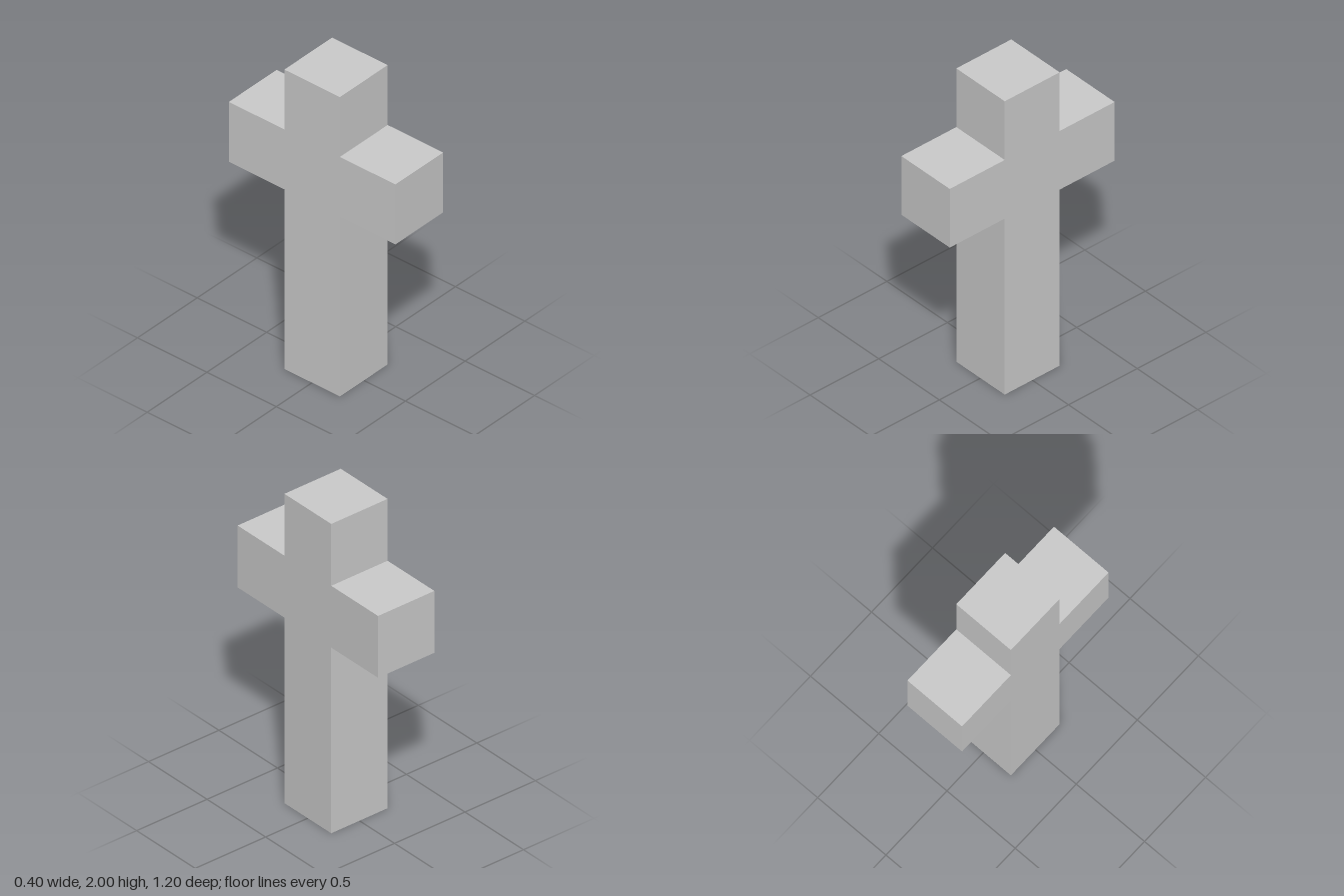
import * as THREE from 'three';

export function createModel() {
  const group = new THREE.Group();
  group.name = 'cross';

  const width = 0.4;   // bar thickness
  const h = width / 2;
  const arm = 0.6;     // reach of each arm
  const armBottom = 1.2, armTop = 1.6, height = 2;

  // Right half of the outline, bottom to top; mirrored for the other half
  const half = [[h, 0], [h, armBottom], [arm, armBottom], [arm, armTop], [h, armTop], [h, height]];
  const mirrored = half.map(([x, y]) => [-x, y]).reverse();
  const outline = new THREE.Shape([...half, ...mirrored].map(([x, y]) => new THREE.Vector2(x, y)));

  // Extrude through the thickness, then turn so the arms run along z
  const geometry = new THREE.ExtrudeGeometry(outline, { depth: width, bevelEnabled: false });
  geometry.translate(0, 0, -h);
  geometry.rotateY(Math.PI / 2);

  const material = new THREE.MeshStandardMaterial({ color: 0xcccccc, flatShading: true });
  const body = new THREE.Mesh(geometry, material);
  body.name = 'crossBody';
  group.add(body);
  return group;
}
